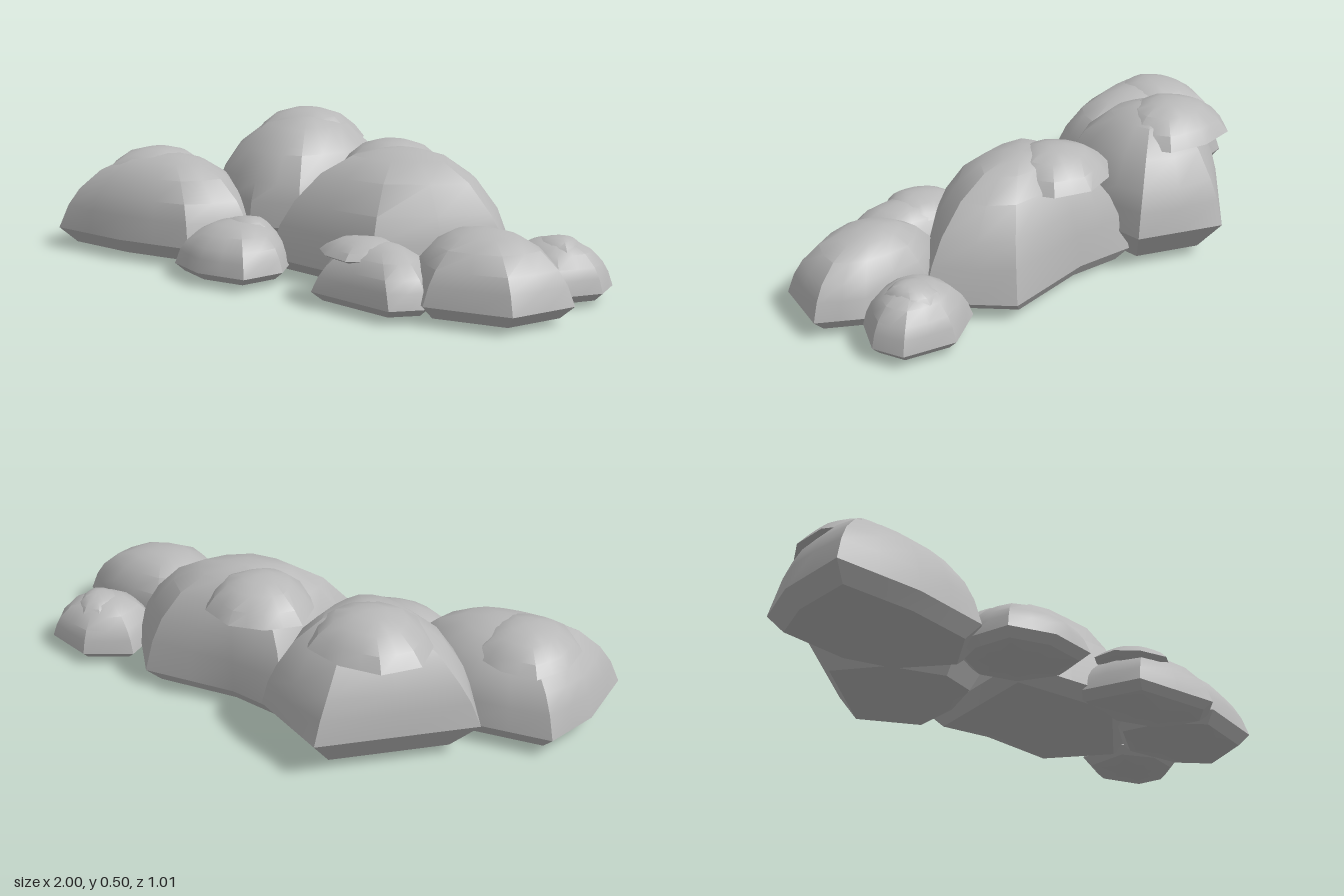
import * as THREE from 'three';
import { toCreasedNormals } from 'three/addons/utils/BufferGeometryUtils.js';

// Dome sections above the widest line: [share of outline, share of height]
const DOME = [[0.95, 0.3], [0.87, 0.52], [0.68, 0.77], [0.43, 0.93], [0.2, 0.985]];
const STEEP_DOME = [[0.97, 0.24], [0.91, 0.42], [0.74, 0.68], [0.46, 0.9], [0.2, 0.98]];
const CAP_DOME = [[0.85, 0.4], [0.6, 0.78], [0.3, 0.95]];

// Outline with edge midpoints, so that sections can be rounded towards the top
function subdivide(points) {
  return points.flatMap(([x, z], i) => {
    const [x2, z2] = points[(i + 1) % points.length];
    return [[x, z], [(x + x2) / 2, (z + z2) / 2]];
  });
}

function soften(points, amount) {
  const n = points.length;
  return points.map((p, i) => p.map((v, k) => {
    const mean = (points[(i + n - 1) % n][k] + points[(i + 1) % n][k]) / 2;
    return v + (mean - v) * amount;
  }));
}

// Rock from a plan outline, its peak, the height of its widest line and its underside
function rockGeometry({ outline, peak, waist, base = 0.018, foot = 0.84, dome = DOME }) {
  let area = 0;
  outline.forEach(([x, z], i) => {
    const [x2, z2] = outline[(i + 1) % outline.length];
    area += x * z2 - x2 * z;
  });
  const plan = subdivide(area > 0 ? [...outline].reverse() : outline);
  const n = plan.length;
  const [px, py, pz] = peak;
  const cx = plan.reduce((s, p) => s + p[0], 0) / n;
  const cz = plan.reduce((s, p) => s + p[1], 0) / n;
  const pos = [];
  const ring = (pts, s, y, ox, oz) => pts.forEach(([x, z]) =>
    pos.push(ox + (x - ox) * s, y, oz + (z - oz) * s));

  ring(plan, foot, base, cx, cz);
  ring(plan, 1, waist, px, pz);
  let round = plan;
  dome.forEach(([s, h]) => {
    round = soften(round, 0.16);
    ring(round, s, waist + (py - waist) * h, px, pz);
  });

  const rings = dome.length + 2;
  const top = pos.length / 3;
  pos.push(px, py, pz, cx, base - 0.018, cz);
  const index = [];
  for (let i = 0; i < n; i++) {
    const j = (i + 1) % n;
    for (let r = 0; r < rings - 1; r++) {
      const a = r * n + i, b = r * n + j;
      index.push(a, b, b + n, a, b + n, a + n);
    }
    const last = (rings - 1) * n;
    index.push(last + i, last + j, top, j, i, top + 1);
  }
  const geometry = new THREE.BufferGeometry();
  geometry.setAttribute('position', new THREE.Float32BufferAttribute(pos, 3));
  geometry.setIndex(index);
  return toCreasedNormals(geometry, 0.5);
}

const ROCKS = [
  { name: 'leftRock', peak: [-0.66, 0.35, 0.17], waist: 0.07,
    outline: [[-0.92, -0.05], [-0.99, 0.14], [-1, 0.4], [-0.69, 0.405], [-0.4, 0.36], [-0.27, 0.17], [-0.42, -0.02], [-0.62, -0.08]] },
  { name: 'tallBackRock', peak: [-0.3, 0.485, -0.19], waist: 0.13, foot: 0.74, dome: STEEP_DOME,
    outline: [[-0.28, -0.51], [-0.01, -0.36], [-0.03, -0.12], [-0.12, 0.1], [-0.3, 0.15], [-0.56, 0.05], [-0.71, -0.16]] },
  { name: 'centreRock', peak: [0.22, 0.44, -0.04], waist: 0.06, foot: 0.86,
    outline: [[-0.14, 0.24], [0.33, 0.29], [0.68, -0.03], [0.5, -0.27], [0.16, -0.25], [-0.05, -0.29], [-0.1, 0]] },
  { name: 'rightRock', peak: [0.69, 0.27, 0.18], waist: 0.06,
    outline: [[0.995, 0.14], [0.91, 0.36], [0.63, 0.425], [0.48, 0.3], [0.43, 0.13], [0.62, 0], [0.87, 0.04]] },
  { name: 'smallBackRock', peak: [0.78, 0.2, -0.09], waist: 0.045,
    outline: [[0.77, -0.26], [0.94, -0.2], [0.965, -0.09], [0.88, 0.04], [0.74, 0.07], [0.61, 0], [0.61, -0.18]] },
  { name: 'smallFrontRightRock', peak: [0.4, 0.21, 0.33], waist: 0.045,
    outline: [[0.14, 0.22], [0.22, 0.455], [0.55, 0.49], [0.63, 0.4], [0.58, 0.24], [0.38, 0.17]] },
  { name: 'smallFrontRock', peak: [-0.2, 0.195, 0.31], waist: 0.045,
    outline: [[-0.405, 0.3], [-0.375, 0.45], [-0.22, 0.505], [-0.04, 0.48], [0, 0.33], [-0.08, 0.18], [-0.23, 0.13], [-0.37, 0.2]] },
];

// Rounded slabs lying on the rocks: centre, radii, edge height, peak height
const CAPS = [
  { name: 'leftCap', at: [-0.75, 0.14], size: [0.18, 0.19], edge: 0.275, top: 0.362 },
  { name: 'tallBackCap', at: [-0.35, -0.23], size: [0.21, 0.19], edge: 0.39, top: 0.5 },
  { name: 'centreCap', at: [0.12, -0.11], size: [0.19, 0.18], edge: 0.345, top: 0.45 },
  { name: 'smallFrontRightCap', at: [0.33, 0.33], size: [0.15, 0.12], edge: 0.165, top: 0.218 },
  { name: 'smallFrontCap', at: [-0.2, 0.28], size: [0.1, 0.09], edge: 0.16, top: 0.202 },
  { name: 'smallBackCap', at: [0.79, -0.1], size: [0.09, 0.09], edge: 0.165, top: 0.208 },
];

function capOutline({ at, size }, seed) {
  return Array.from({ length: 9 }, (_, i) => {
    const a = (i / 9) * Math.PI * 2;
    const r = 1 + 0.06 * Math.sin(i * 2.4 + seed);
    return [at[0] + Math.cos(a) * size[0] * r, at[1] + Math.sin(a) * size[1] * r];
  });
}

export function createModel() {
  const group = new THREE.Group();
  group.name = 'rockPile';
  const stone = new THREE.MeshStandardMaterial({ color: 0xb8b8b8 });
  stone.name = 'greyStone';

  const add = (name, spec) => {
    const mesh = new THREE.Mesh(rockGeometry(spec), stone);
    mesh.name = name;
    group.add(mesh);
  };

  ROCKS.forEach((rock) => add(rock.name, rock));
  CAPS.forEach((cap, i) => add(cap.name, {
    outline: capOutline(cap, i),
    peak: [cap.at[0] + 0.02, cap.top, cap.at[1] + 0.01],
    waist: cap.edge,
    base: cap.edge - 0.012,
    foot: 0.8,
    dome: CAP_DOME,
  }));
  return group;
}
